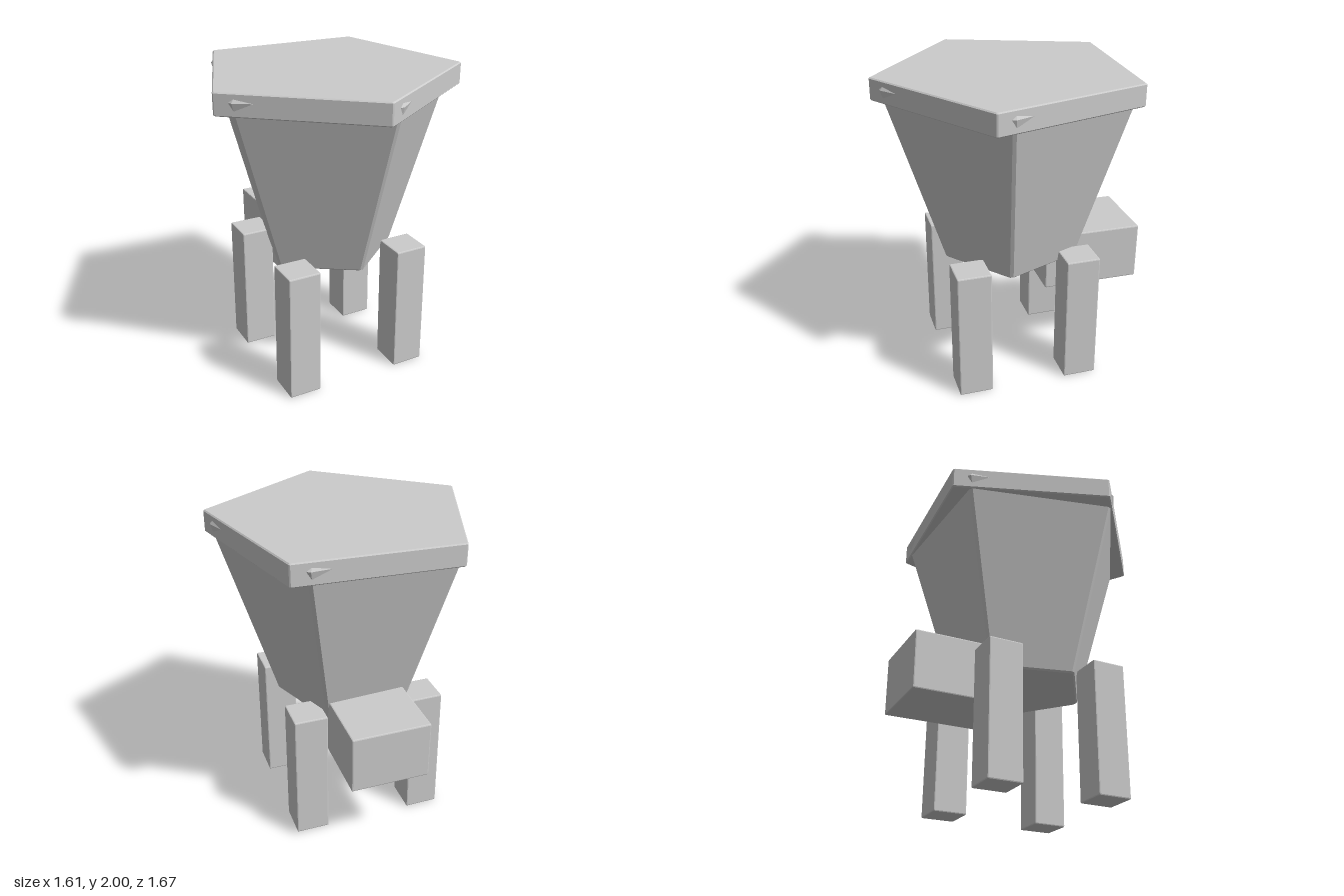
import * as THREE from 'three';
import { RoundedBoxGeometry } from 'three/addons/geometries/RoundedBoxGeometry.js';

const material = new THREE.MeshStandardMaterial({ color: 0xcccccc, flatShading: true });

// Pentagon outline with each corner cut off by a small chamfer.
function pentagon(radius, y, turn, chamfer) {
  const corner = i => {
    const a = turn + (i * Math.PI * 2) / 5;
    return new THREE.Vector3(Math.sin(a) * radius, y, Math.cos(a) * radius);
  };
  const points = [];
  for (let i = 0; i < 5; i++) {
    const c = corner(i);
    for (const side of [-1, 1]) {
      const dir = corner(i + side).sub(c).normalize();
      points.push(c.clone().addScaledVector(dir, chamfer));
    }
  }
  return points;
}

// Closed solid through a stack of [radius, y] pentagons, listed bottom to top.
function pentagonSolid(levels, turn, chamfer) {
  const rings = levels.map(([r, y]) => pentagon(r, y, turn, chamfer));
  const n = rings[0].length;
  const pos = [];
  const tri = (...pts) => pts.forEach(p => pos.push(p.x, p.y, p.z));
  const low = new THREE.Vector3(0, levels[0][1], 0);
  const high = new THREE.Vector3(0, levels[levels.length - 1][1], 0);
  for (let i = 0; i < n; i++) {
    const j = (i + 1) % n;
    for (let k = 0; k < rings.length - 1; k++) {
      const a = rings[k], b = rings[k + 1];
      tri(a[i], a[j], b[j]);
      tri(a[i], b[j], b[i]);
    }
    const top = rings[rings.length - 1];
    tri(low, rings[0][j], rings[0][i]);
    tri(high, top[i], top[j]);
  }
  const geometry = new THREE.BufferGeometry();
  geometry.setAttribute('position', new THREE.Float32BufferAttribute(pos, 3));
  geometry.computeVertexNormals();
  return geometry;
}

export function createModel() {
  const model = new THREE.Group();
  const add = (name, geometry, x, y, z) => {
    const mesh = new THREE.Mesh(geometry, material);
    mesh.name = name;
    mesh.position.set(x, y, z);
    model.add(mesh);
    return mesh;
  };

  // Tapered body; its upper corners poke slightly through the rim of the lid
  const body = [[0.435, 0.78], [0.448, 0.79], [0.81, 1.945], [0.795, 1.965]];
  add('body', pentagonSolid(body, 0.056, 0.014), 0.015, 0, -0.015);

  // Flat lid, turned a little against the body
  const lid = [[0.842, 1.86], [0.851, 1.867], [0.851, 1.993], [0.842, 2]];
  add('lid', pentagonSolid(lid, -0.053, 0.006), 0.015, 0, -0.015);

  // Four square legs, very slightly leaning
  const leg = new RoundedBoxGeometry(0.215, 0.86, 0.22, 1, 0.008);
  for (const [name, x, z] of [
    ['frontLeftLeg', 0.393, 0.35], ['frontRightLeg', -0.378, 0.35],
    ['backLeftLeg', 0.393, -0.36], ['backRightLeg', -0.378, -0.36],
  ]) {
    add(name, leg, x, 0.431, z).rotation.z = Math.sign(x) * 0.005;
  }

  // Box behind and partly under the body
  add('rearBox', new RoundedBoxGeometry(0.5, 0.375, 0.645, 1, 0.008), 0.01, 0.744, -0.514)
    .rotation.x = -0.008;

  return model;
}
